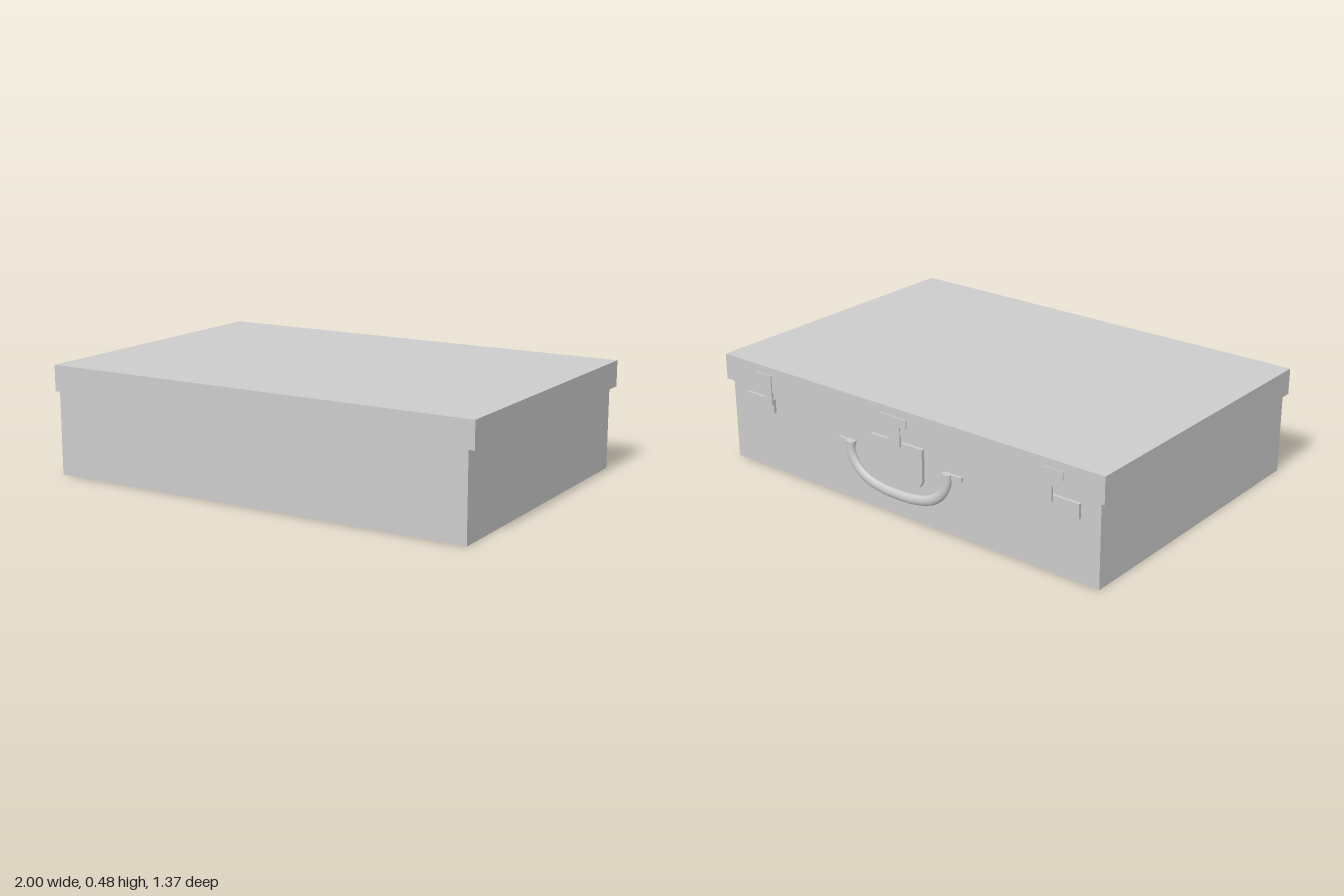
import * as THREE from 'three';

const BODY_BACK = -0.655, LID_BACK = -0.672, FRONT = 0.687;
const mat = new THREE.MeshStandardMaterial({ color: 0xcccccc, side: THREE.DoubleSide });

function add(parent, geometry, name) {
  const mesh = new THREE.Mesh(geometry, mat);
  mesh.name = name;
  parent.add(mesh);
  return mesh;
}

// Box given by its minimum and maximum corners
function block(parent, name, [x0, y0, z0], [x1, y1, z1]) {
  const mesh = add(parent, new THREE.BoxGeometry(x1 - x0, y1 - y0, z1 - z0), name);
  mesh.position.set((x0 + x1) / 2, (y0 + y1) / 2, (z0 + z1) / 2);
  return mesh;
}

// Flat plate from an outline, standing between two depths
function plate(parent, name, points, zBack, zFront) {
  const shape = new THREE.Shape(points.map(([x, y]) => new THREE.Vector2(x, y)));
  const geo = new THREE.ExtrudeGeometry(shape, { depth: zFront - zBack, bevelEnabled: false });
  geo.translate(0, 0, zBack);
  return add(parent, geo, name);
}

export function createModel() {
  const model = new THREE.Group();
  model.name = 'case';

  // Case: the lid overhangs the body on the sides and the back
  block(model, 'body', [-0.975, 0, BODY_BACK], [0.975, 0.365, FRONT]);
  block(model, 'lid', [-1, 0.365, LID_BACK], [1, 0.48, FRONT]);

  // Side latches: base plate on the body, stepped hasp reaching up onto the lid
  for (const s of [1, -1]) {
    const latch = new THREE.Group();
    latch.name = s > 0 ? 'leftLatch' : 'rightLatch';
    const flip = (pts) => pts.map(([x, y]) => [s * x, y]);
    plate(latch, 'latchPlate', flip([[0.72, 0.27], [0.885, 0.27], [0.885, 0.333], [0.72, 0.333]]),
      -0.668, BODY_BACK);
    plate(latch, 'latchHasp', flip([[0.72, 0.31], [0.765, 0.31], [0.765, 0.375], [0.815, 0.41],
      [0.815, 0.445], [0.72, 0.445]]), -0.677, -0.667);
    model.add(latch);
  }

  // Centre lock: rounded shield with a T-shaped hasp
  const lock = new THREE.Group();
  lock.name = 'centreLock';
  const shield = [[0.155, 0.335], [-0.12, 0.335], [-0.12, 0.195], [-0.105, 0.168], [-0.05, 0.146],
    [0.0175, 0.14], [0.085, 0.146], [0.14, 0.168], [0.155, 0.195]];
  plate(lock, 'lockShield', shield, -0.67, BODY_BACK);
  plate(lock, 'lockHasp', [[0.05, 0.32], [0.05, 0.405], [0.09, 0.405], [0.09, 0.445],
    [-0.045, 0.445], [-0.045, 0.405], [-0.01, 0.405], [-0.01, 0.32]], -0.677, -0.667);
  model.add(lock);

  // Carrying handle: flattened U-shaped tube with capped ends, hung from two lugs
  const handle = new THREE.Group();
  handle.name = 'handle';
  handle.position.set(0.01, 0, 0);
  const half = [[0.258, 0.27], [0.257, 0.225], [0.228, 0.17], [0.17, 0.128], [0.085, 0.107]];
  const path = [...half, [0, 0.102], ...half.map(([x, y]) => [-x, y]).reverse()];
  const curve = new THREE.CatmullRomCurve3(path.map(([x, y]) => new THREE.Vector3(x, y, 0)));
  const grip = add(handle, new THREE.TubeGeometry(curve, 32, 0.022, 12), 'grip');
  grip.scale.z = 0.72;
  grip.position.z = -0.671;
  for (const s of [1, -1]) {
    const cap = add(handle, new THREE.CircleGeometry(0.022, 12).rotateX(-Math.PI / 2), 'gripEnd');
    cap.scale.z = 0.72;
    cap.position.set(s * 0.258, 0.27, -0.671);
    const lug = block(handle, 'handleLug', [-0.045, 0.252, -0.667], [0.045, 0.27, BODY_BACK]);
    lug.position.x = s * 0.285;
  }
  model.add(handle);

  return model;
}
